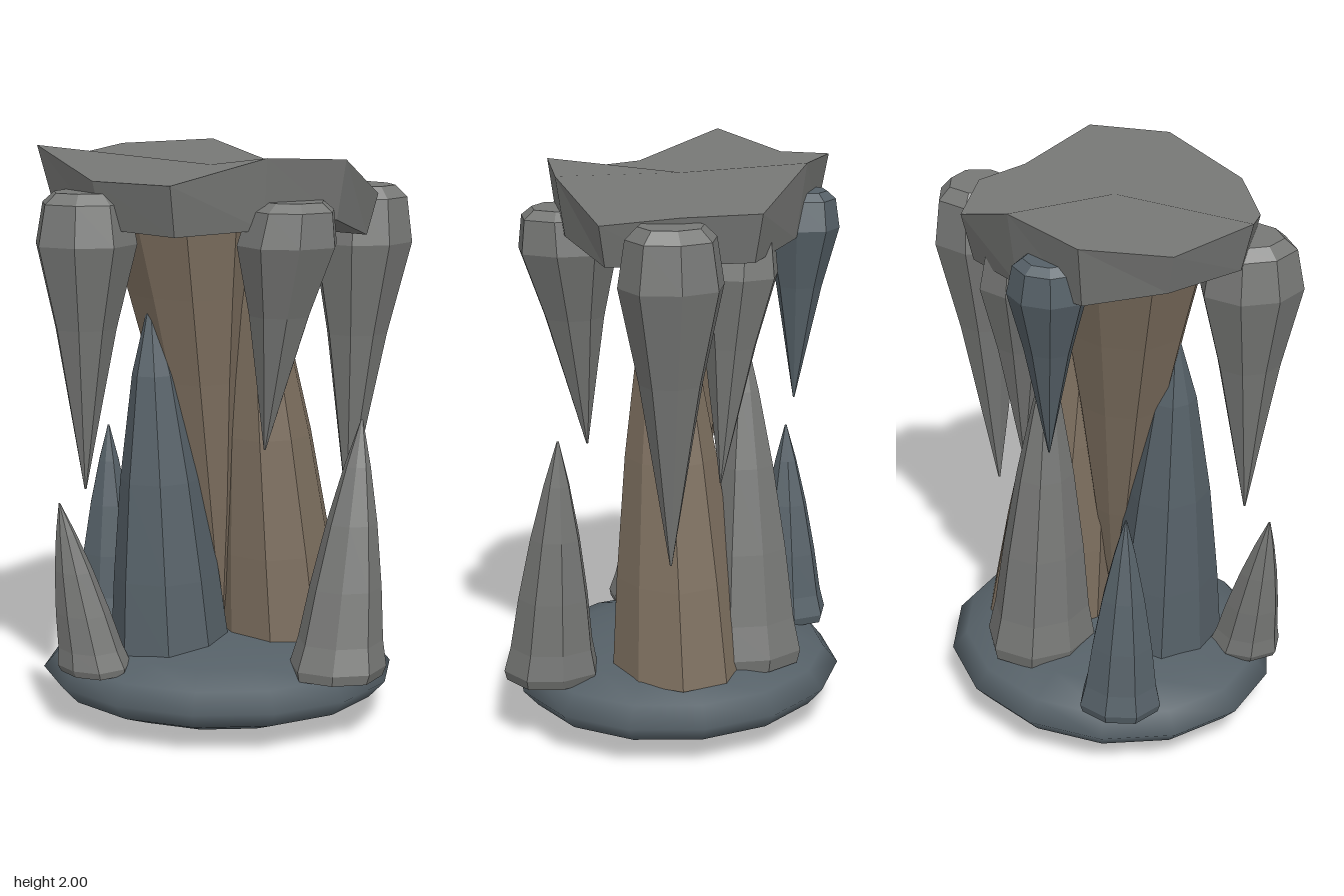
import * as THREE from 'three';

const rock = (color) => new THREE.MeshStandardMaterial({ color, flatShading: true, roughness: 0.9 });
const smooth = (color) => new THREE.MeshStandardMaterial({ color, roughness: 0.9 });
const GREY = rock(0x777876), SLATE = rock(0x566168), BROWN = rock(0x7d6f5f);

// Relative radius along a spike: [fraction of the way from root to tip, radius]
const COLUMN_PROFILE = [[0, 0], [0, 1], [0.22, 0.88], [0.5, 0.68], [0.8, 0.38], [1, 0.04]];
const FLOOR_PROFILE = [[0, 0], [0, 0.94], [0.04, 1], [0.14, 0.88], [0.35, 0.74], [0.6, 0.52], [0.82, 0.27], [1, 0.02]];
const ROOF_PROFILE = [[0, 0], [0, 0.62], [0.035, 0.86], [0.17, 1], [0.45, 0.61], [0.7, 0.34], [1, 0.02]];

// Faceted rock spike whose axis runs from root to tip
function spike(name, material, profile, root, tip, radius, sides = 8, turn = 0) {
  const [x0, y0, z0] = root, [x1, y1, z1] = tip;
  const points = profile.map(([t, r]) => new THREE.Vector2(r * radius, y0 + t * (y1 - y0)));
  if (y1 < y0) points.reverse();
  const geometry = new THREE.LatheGeometry(points, sides, turn);
  const p = geometry.attributes.position;
  for (let i = 0; i < p.count; i++) {
    const t = (p.getY(i) - y0) / (y1 - y0);
    // slight unevenness around the axis
    const a = Math.atan2(p.getZ(i), p.getX(i));
    const k = 1 + 0.05 * Math.sin(3 * a + radius * 40);
    p.setXYZ(i, p.getX(i) * k + x0 + t * (x1 - x0), p.getY(i), p.getZ(i) * k + z0 + t * (z1 - z0));
  }
  geometry.computeVertexNormals();
  const mesh = new THREE.Mesh(geometry, material);
  mesh.name = name;
  return mesh;
}

// Rough cap slab with a wavy rim: x, z, top height, bottom height
function capSlab() {
  const rim = [
    [-0.42, -0.38, 1.97, 1.76], [-0.1, -0.44, 1.985, 1.73], [0.22, -0.43, 1.865, 1.7],
    [0.43, -0.24, 1.87, 1.71], [0.53, 0, 1.84, 1.7], [0.44, 0.21, 1.97, 1.77],
    [0.2, 0.38, 1.985, 1.75], [-0.1, 0.47, 1.9, 1.73], [-0.38, 0.34, 1.9, 1.74],
    [-0.61, 0.14, 2, 1.83], [-0.57, -0.13, 1.94, 1.8],
  ];
  const n = rim.length, pos = [], top = [], rest = [];
  rim.forEach(([x, z, high, low]) => pos.push(x, high, z, x * 0.93, low, z * 0.92));
  pos.push(-0.04, 1.93, 0, -0.04, 1.74, 0);
  for (let i = 0; i < n; i++) {
    const a = 2 * i, b = 2 * ((i + 1) % n);
    top.push(2 * n, b, a);
    rest.push(a, b, a + 1, b, b + 1, a + 1, 2 * n + 1, a + 1, b + 1); // sides and underside
  }
  const indexed = new THREE.BufferGeometry();
  indexed.setAttribute('position', new THREE.Float32BufferAttribute(pos, 3));
  indexed.setIndex([...top, ...rest]);
  const geometry = indexed.toNonIndexed();
  geometry.computeVertexNormals();
  // the top is shaded as one even face
  for (let i = 0; i < top.length; i++) geometry.attributes.normal.setXYZ(i, 0, 1, 0);
  const mesh = new THREE.Mesh(geometry, smooth(0x777876));
  mesh.name = 'capSlab';
  return mesh;
}

export function createModel() {
  const model = new THREE.Group();

  // Smooth rounded base
  const profile = [[0, 0.005], [0.24, 0.015], [0.42, 0.05], [0.55, 0.1], [0.605, 0.16],
    [0.55, 0.225], [0.42, 0.265], [0.24, 0.29], [0, 0.3]].map(([r, y]) => new THREE.Vector2(r, y));
  const base = new THREE.Mesh(new THREE.LatheGeometry(profile, 14), smooth(0x566168));
  base.name = 'base';
  base.position.x = -0.018;
  base.scale.set(1.025, 1, 0.935);
  model.add(base, capSlab());

  // Central column: one spike rising, one hanging, one leaning beside them
  model.add(
    spike('columnLower', BROWN, COLUMN_PROFILE, [0.19, 0.25, -0.115], [0.1, 1.74, 0], 0.24, 9),
    spike('columnUpper', BROWN, [[0, 0], [0, 1], [0.2, 0.78], [0.4, 0.58], [0.7, 0.32], [1, 0.02]],
      [-0.14, 1.79, 0], [0, 0.3, 0.03], 0.27, 9, 0.2),
    spike('columnSide', SLATE, COLUMN_PROFILE, [-0.18, 0.25, 0.11], [-0.23, 1.47, 0.12], 0.208, 8, 0.2),
  );

  // Spikes rising from the base
  const floor = [
    [GREY, [0.43, 0.23, 0.26], [0.5, 1.1, 0.18], 0.165],
    [GREY, [-0.385, 0.23, 0.34], [-0.51, 0.81, 0.33], 0.125],
    [SLATE, [-0.45, 0.24, -0.24], [-0.45, 0.97, -0.22], 0.142],
    [GREY, [0.01, 0.25, -0.29], [-0.02, 1.42, -0.25], 0.19],
  ];
  floor.forEach(([m, root, tip, r], i) =>
    model.add(spike('stalagmite' + (i + 1), m, FLOOR_PROFILE, root, tip, r, 8, i * 0.3)));

  // Spikes hanging around the cap
  const roof = [
    [GREY, [-0.42, 1.86, 0.27], [-0.43, 0.85, 0.28], 0.172],
    [GREY, [0.275, 1.84, 0.285], [0.18, 1, 0.25], 0.168],
    [GREY, [0.46, 1.85, -0.22], [0.42, 0.7, -0.2], 0.175],
    [SLATE, [-0.235, 1.87, -0.37], [-0.2, 1.15, -0.36], 0.13],
    [GREY, [0.08, 1.78, -0.28], [0.15, 0.92, -0.25], 0.145],
  ];
  roof.forEach(([m, root, tip, r], i) =>
    model.add(spike('stalactite' + (i + 1), m, ROOF_PROFILE, root, tip, r, 8, i * 0.35)));

  return model;
}
